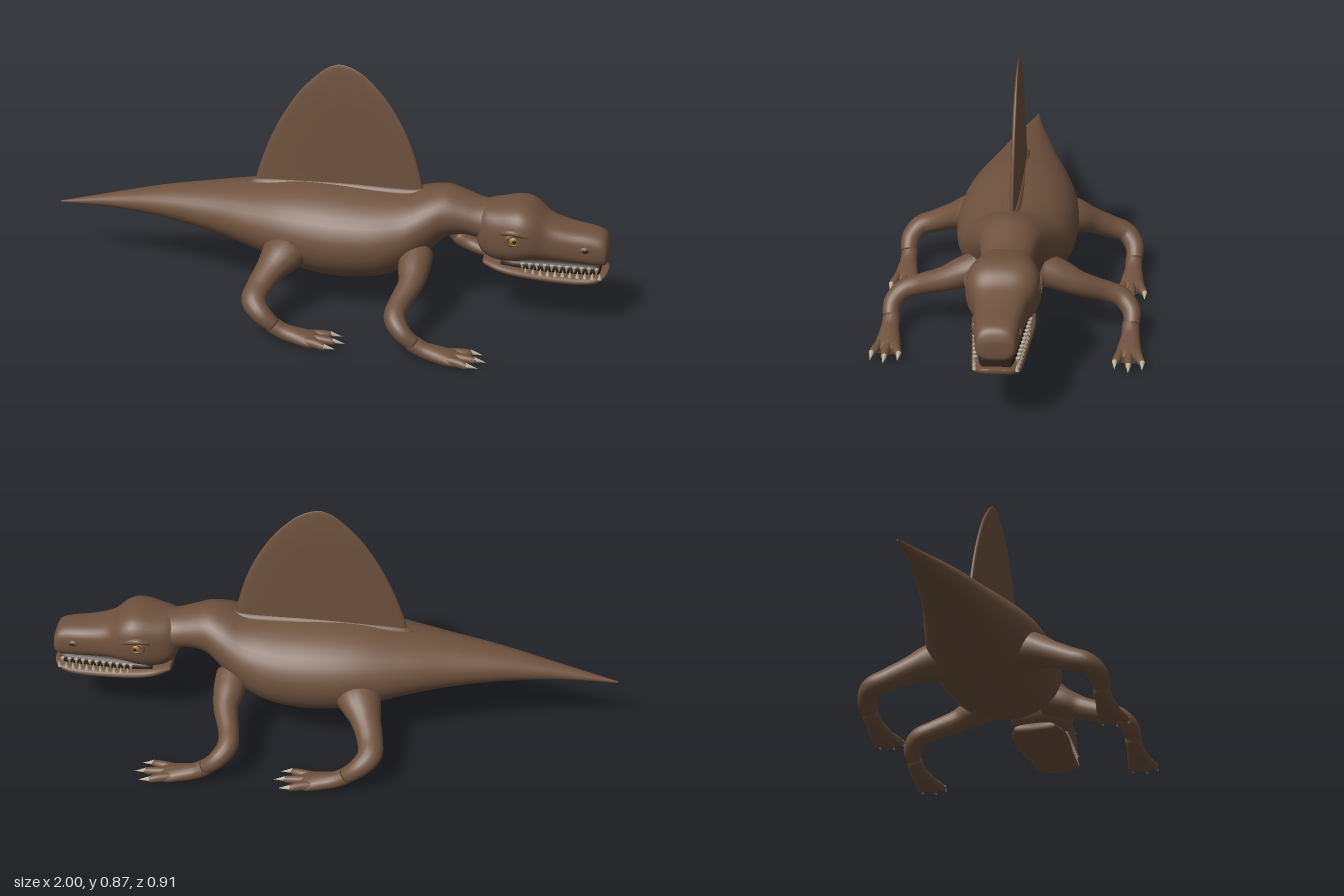
import * as THREE from 'three';

const V = (x, y, z) => new THREE.Vector3(x, y, z);
const material = (name, color) => {
  const m = new THREE.MeshStandardMaterial({ color });
  m.name = name;
  return m;
};

// Smooth Catmull-Rom sampling of rows of numbers
function smooth(rows, steps) {
  const out = [];
  const at = (i) => rows[Math.max(0, Math.min(rows.length - 1, i))];
  for (let i = 0; i < rows.length - 1; i++) {
    for (let s = 0; s < steps; s++) {
      const t = s / steps;
      out.push(at(i).map((p1, k) => {
        const p0 = at(i - 1)[k], p2 = at(i + 1)[k], p3 = at(i + 2)[k];
        return p1 + 0.5 * t * (p2 - p0 + t * (2 * p0 - 5 * p1 + 4 * p2 - p3 + t * (3 * (p1 - p2) + p3 - p0)));
      }));
    }
  }
  out.push(rows[rows.length - 1]);
  return out;
}

// Skin over a list of rings, closed at both ends
function loft(rings) {
  const n = rings[0].length, pos = [], idx = [];
  const centre = (r) => r.reduce((a, p) => a.add(p), V(0, 0, 0)).divideScalar(n);
  const c0 = centre(rings[0]), c1 = centre(rings[rings.length - 1]);
  const all = [rings[0].map(() => c0), ...rings, rings[0].map(() => c1)];
  all.forEach((r) => r.forEach((p) => pos.push(p.x, p.y, p.z)));
  for (let i = 0; i < all.length - 1; i++) {
    for (let j = 0; j < n; j++) {
      const a = i * n + j, b = i * n + (j + 1) % n;
      idx.push(a, a + n, b, b, a + n, b + n);
    }
  }
  const g = new THREE.BufferGeometry();
  g.setAttribute('position', new THREE.Float32BufferAttribute(pos, 3));
  g.setIndex(idx);
  g.computeVertexNormals();
  return g;
}

const pw = (v, p) => Math.sign(v) * Math.pow(Math.abs(v), p);
const ring = (n, f) => Array.from({ length: n }, (_, j) => {
  const a = (j / n) * Math.PI * 2;
  return f(Math.cos(a), Math.sin(a));
});

// Rows along x: [x, top, bottom, half width]; p below 1 makes the section boxier
const hull = (rows, p = 1, steps = 5) => loft(smooth(rows, steps).map(([x, top, bot, hw]) =>
  ring(36, (c, s) => V(x, (top + bot) / 2 + pw(s, p) * (top - bot) / 2, pw(c, p) * hw))));

// Limb rows: [x, y, z, radius across, radius up]
function limb(rows, steps = 5) {
  const pts = smooth(rows, steps);
  const P = pts.map((r) => V(r[0], r[1], r[2]));
  let n = null;
  return loft(pts.map((r, i) => {
    const t = P[Math.min(i + 1, P.length - 1)].clone().sub(P[Math.max(i - 1, 0)]).normalize();
    n = n || V(0, 1, 0);
    n = n.clone().addScaledVector(t, -n.dot(t)).normalize();
    const side = new THREE.Vector3().crossVectors(n, t);
    return ring(20, (c, s) => P[i].clone().addScaledVector(n, c * r[4]).addScaledVector(side, s * r[3]));
  }));
}

export function createModel() {
  const model = new THREE.Group();
  const skin = material('brown skin', 0x6f523e);
  const dark = material('dark brown', 0x2e2019);
  const ivory = material('ivory', 0xb8ae98);
  const amber = material('amber', 0xb07a1e);
  const add = (name, geo, mat, parent = model) => {
    const m = new THREE.Mesh(geo, mat);
    m.name = name;
    parent.add(m);
    return m;
  };

  // Trunk, tail and neck in one skin
  add('body', hull([
    [-1, 0.235, 0.229, 0.003], [-0.8, 0.29, 0.238, 0.032], [-0.6, 0.342, 0.23, 0.072],
    [-0.4, 0.38, 0.203, 0.118], [-0.25, 0.405, 0.17, 0.162], [-0.1, 0.43, 0.125, 0.198],
    [0.05, 0.436, 0.103, 0.211], [0.2, 0.432, 0.118, 0.2], [0.3, 0.435, 0.16, 0.172],
    [0.38, 0.458, 0.23, 0.138], [0.44, 0.466, 0.288, 0.108], [0.5, 0.45, 0.305, 0.092],
    [0.56, 0.433, 0.295, 0.085], [0.64, 0.43, 0.26, 0.085],
  ]), skin);

  // Head with upper jaw
  add('head', hull([
    [0.545, 0.4, 0.3, 0.06], [0.57, 0.425, 0.255, 0.088], [0.62, 0.437, 0.235, 0.108],
    [0.69, 0.45, 0.24, 0.121], [0.74, 0.436, 0.25, 0.113], [0.79, 0.4, 0.252, 0.09],
    [0.86, 0.38, 0.25, 0.079], [0.94, 0.37, 0.247, 0.07], [0.98, 0.357, 0.248, 0.064],
    [0.995, 0.33, 0.26, 0.052], [0.998, 0.31, 0.28, 0.02],
  ], 0.72), skin);

  // Lower jaw
  add('lowerJaw', hull([
    [0.575, 0.245, 0.218, 0.075], [0.63, 0.244, 0.202, 0.1], [0.7, 0.234, 0.19, 0.103],
    [0.8, 0.222, 0.18, 0.092], [0.9, 0.218, 0.178, 0.083], [0.96, 0.222, 0.187, 0.075],
    [0.99, 0.227, 0.202, 0.055], [1, 0.226, 0.214, 0.025],
  ], 0.8), skin);

  // Dark inside of the mouth
  add('mouth', hull([
    [0.64, 0.26, 0.21, 0.085], [0.8, 0.262, 0.205, 0.07], [0.95, 0.26, 0.21, 0.056], [0.975, 0.255, 0.215, 0.045],
  ], 0.8, 3), dark);

  // Thin back sail, stacked rows: [y, rear x, front x, half thickness]
  const sail = smooth([
    [0.4, -0.258, 0.355, 0.016], [0.46, -0.243, 0.344, 0.0145], [0.56, -0.207, 0.318, 0.0135],
    [0.66, -0.16, 0.278, 0.0125], [0.76, -0.097, 0.217, 0.011], [0.83, -0.032, 0.152, 0.007],
    [0.862, 0.008, 0.105, 0.004], [0.876, 0.044, 0.062, 0.001],
  ], 4);
  add('sail', loft(sail.map(([y, r, f, h]) =>
    ring(36, (c, s) => V((r + f) / 2 + c * (f - r) / 2, y, pw(s, 0.6) * h)))), skin);
  // Soft ridge where the sail meets the back
  add('sailRidge', hull([
    [-0.28, 0.402, 0.38, 0.004], [-0.22, 0.424, 0.38, 0.022], [0.05, 0.444, 0.4, 0.026],
    [0.3, 0.446, 0.4, 0.024], [0.37, 0.452, 0.42, 0.006],
  ]), skin);

  const claw = new THREE.ConeGeometry(0.0095, 0.042, 10).rotateZ(-Math.PI / 2 - 0.15);
  const tooth = new THREE.ConeGeometry(0.0075, 0.026, 8);

  for (const s of [1, -1]) {
    const side = s > 0 ? 'left' : 'right';

    // Sprawling legs; each foot points forward
    const legs = {
      HindLeg: { x: 0, rows: [
        [-0.085, 0.235, 0.11, 0.085, 0.07], [-0.105, 0.226, 0.18, 0.078, 0.064], [-0.132, 0.195, 0.25, 0.054, 0.046],
        [-0.153, 0.16, 0.32, 0.045, 0.04], [-0.155, 0.138, 0.375, 0.042, 0.036], [-0.118, 0.105, 0.405, 0.034, 0.034],
        [-0.075, 0.07, 0.407, 0.027, 0.029]] },
      FrontLeg: { x: 0.485, rows: [
        [0.35, 0.245, 0.1, 0.058, 0.058], [0.355, 0.222, 0.165, 0.055, 0.052], [0.358, 0.195, 0.23, 0.043, 0.042],
        [0.338, 0.162, 0.31, 0.036, 0.036], [0.335, 0.138, 0.37, 0.036, 0.034], [0.368, 0.105, 0.405, 0.031, 0.032],
        [0.41, 0.07, 0.407, 0.026, 0.028]] },
    };
    for (const [name, { x, rows }] of Object.entries(legs)) {
      const leg = new THREE.Group();
      leg.name = side + name;
      model.add(leg);
      add('limb', limb(rows.map(([a, b, c, d, e]) => [a, b, c * s, d, e])), skin, leg);
      add('foot', limb([
        [x - 0.105, 0.088, 0.405 * s, 0.012, 0.012], [x - 0.085, 0.074, 0.405 * s, 0.028, 0.028],
        [x - 0.04, 0.05, 0.405 * s, 0.031, 0.027], [x + 0.02, 0.037, 0.403 * s, 0.04, 0.026],
        [x + 0.06, 0.031, 0.402 * s, 0.045, 0.022], [x + 0.085, 0.028, 0.402 * s, 0.036, 0.014]]), skin, leg);
      // Toes with claws
      for (const k of [-1, 0, 1]) {
        const reach = k === 0 ? 0.02 : 0;
        const z0 = 0.402 * s + k * 0.022, z1 = 0.402 * s + k * 0.043;
        add('toe', limb([
          [x + 0.02, 0.034, z0, 0.015, 0.017], [x + 0.075, 0.036, (z0 + z1) / 2, 0.015, 0.016],
          [x + 0.11 + reach, 0.034, z1, 0.012, 0.012], [x + 0.12 + reach, 0.032, z1, 0.004, 0.004]], 3), skin, leg);
        add('claw', claw, ivory, leg).position.set(x + 0.132 + reach, 0.034, z1 + k * 0.002);
      }
    }

    // Eye with pupil, lid rim and brow
    const eye = new THREE.Group();
    eye.name = side + 'Eye';
    eye.position.set(0.685, 0.347, 0.112 * s);
    eye.rotation.y = s * 0.12;
    model.add(eye);
    add('eyeball', new THREE.SphereGeometry(0.017, 20, 14), amber, eye).scale.z = 0.85;
    const pupil = add('pupil', new THREE.SphereGeometry(0.007, 12, 8), dark, eye);
    pupil.position.set(0.002, 0, 0.0125 * s);
    pupil.scale.z = 0.5;
    const lid = add('eyelid', new THREE.TorusGeometry(0.02, 0.006, 8, 24), skin, eye);
    lid.scale.set(1.25, 0.85, 1);
    lid.position.z = 0.005 * s;
    add('brow', limb([
      [0.64, 0.366, 0.108 * s, 0.008, 0.008], [0.68, 0.376, 0.114 * s, 0.015, 0.012],
      [0.73, 0.362, 0.104 * s, 0.012, 0.01], [0.76, 0.345, 0.09 * s, 0.005, 0.005]]), skin);

    // Nostril
    const nostril = add('nostril', new THREE.SphereGeometry(0.014, 16, 10), skin);
    nostril.position.set(0.92, 0.318, 0.068 * s);
    nostril.scale.set(1.3, 0.9, 0.7);
    const hole = add('nostrilHole', new THREE.SphereGeometry(0.008, 12, 8), dark);
    hole.position.set(0.923, 0.318, 0.075 * s);
    hole.scale.set(1.3, 0.8, 0.5);

    // Two rows of teeth following the jaw edge
    for (let i = 0; i < 11; i++) {
      const x = 0.715 + i * 0.025;
      const z = s * (0.088 - (x - 0.715) * 0.085);
      const up = add('upperTooth', tooth, ivory);
      up.position.set(x, 0.239, z);
      up.rotation.x = Math.PI;
      add('lowerTooth', tooth, ivory).position.set(x + 0.0125, 0.226, z - s * 0.001);
    }
  }
  return model;
}
